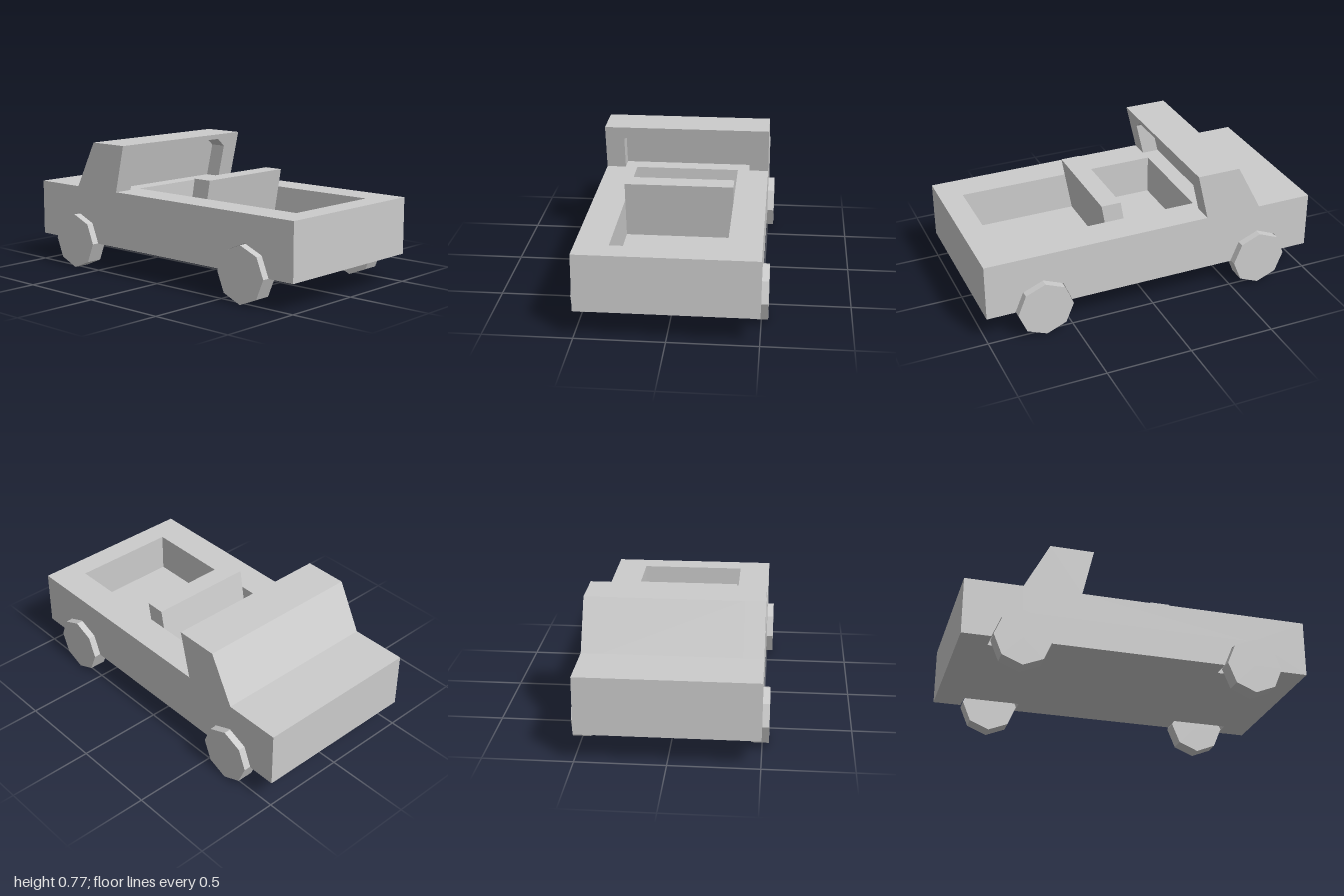
import * as THREE from 'three';

const material = new THREE.MeshStandardMaterial({ color: 0xcccccc, flatShading: true });

// Main dimensions
const BOTTOM = 0.163, DECK = 0.493, ROOF = 0.77, FLOOR = 0.26;
const HALF_WIDTH = 0.5, INNER = 0.385;
const WHEEL_X = 0.667, WHEEL_R = 0.163, ARCH_R = 0.168;
const CAB_BASE = -0.335, CAB_SLOPE = 0.065 / (ROOF - DECK), RECESS = 0.1;
const HEADER = 0.74;

// x of the slanted open face of the cab at height y
const cabRear = (y) => CAB_BASE + (y - DECK) * CAB_SLOPE;

const shapeOf = (points) => new THREE.Shape(points.map(([x, y]) => new THREE.Vector2(x, y)));

// Side profile extruded across z
function extrude(points, z0, z1) {
  const g = new THREE.ExtrudeGeometry(shapeOf(points), { depth: z1 - z0, bevelEnabled: false });
  return g.translate(0, 0, z0);
}

// Upper half of an octagon, running from -x to +x
function archPoints(cx) {
  return [4, 3, 2, 1, 0].map((i) => {
    const a = (i * Math.PI) / 4;
    return [cx + ARCH_R * Math.cos(a), BOTTOM + ARCH_R * Math.sin(a)];
  });
}

export function createModel() {
  const model = new THREE.Group();
  const add = (name, geometry) => {
    const mesh = new THREE.Mesh(geometry, material);
    mesh.name = name;
    model.add(mesh);
    return mesh;
  };

  // Side panels with wheel arches and cab pillars
  const sideProfile = [
    [-1, BOTTOM], ...archPoints(-WHEEL_X), ...archPoints(WHEEL_X), [1, BOTTOM],
    [1, DECK], [CAB_BASE, DECK], [cabRear(ROOF), ROOF],
    [-0.525, ROOF], [-0.67, DECK], [-1, DECK],
  ];
  add('leftSide', extrude(sideProfile, INNER, HALF_WIDTH));
  add('rightSide', extrude(sideProfile, -HALF_WIDTH, -INNER));

  // Central deck with the open compartment
  const deck = shapeOf([[-1, -INNER], [1, -INNER], [1, INNER], [-1, INNER]]);
  const hx0 = CAB_BASE, hx1 = 0.865, hz = 0.313;
  deck.holes.push(new THREE.Path([
    [hx0, -hz], [hx0, hz], [hx1, hz], [hx1, -hz],
  ].map(([x, y]) => new THREE.Vector2(x, y))));
  const deckGeometry = new THREE.ExtrudeGeometry(deck, { depth: DECK - BOTTOM, bevelEnabled: false });
  add('deck', deckGeometry.rotateX(-Math.PI / 2).translate(0, BOTTOM, 0));

  // Compartment floor
  const floor = new THREE.BoxGeometry(hx1 - hx0, FLOOR - BOTTOM, hz * 2);
  add('floor', floor.translate((hx0 + hx1) / 2, (FLOOR + BOTTOM) / 2, 0));

  // Leaning bench back
  add('benchBack', extrude([[0.065, FLOOR], [0.18, FLOOR], [0.24, 0.6], [0.123, 0.6]], -hz, hz));

  // Windshield and roof, hollowed towards the compartment
  add('cab', extrude([
    [-0.67, DECK], [cabRear(DECK) - RECESS, DECK], [cabRear(HEADER) - RECESS, HEADER],
    [cabRear(HEADER), HEADER], [cabRear(ROOF), ROOF], [-0.525, ROOF],
  ], -INNER, INNER));

  // Corner gussets in the cab opening
  for (const [side, name] of [[1, 'leftGusset'], [-1, 'rightGusset']]) {
    const corner = shapeOf([[-side * INNER, 0.69], [-side * INNER, HEADER], [-side * 0.317, HEADER]]);
    const g = new THREE.ExtrudeGeometry(corner, { depth: RECESS, bevelEnabled: false });
    g.rotateY(Math.PI / 2);
    const p = g.attributes.position;
    for (let i = 0; i < p.count; i++) p.setX(i, p.getX(i) - RECESS + cabRear(p.getY(i)));
    g.computeVertexNormals();
    add(name, g);
  }

  // Octagonal wheels
  for (const [x, end] of [[-WHEEL_X, 'front'], [WHEEL_X, 'rear']]) {
    for (const [s, side] of [[1, 'Left'], [-1, 'Right']]) {
      const g = new THREE.CylinderGeometry(WHEEL_R, WHEEL_R, 0.097, 8);
      g.rotateX(Math.PI / 2);
      add(`${end}${side}Wheel`, g).position.set(x, WHEEL_R, s * 0.4895);
    }
  }

  return model;
}
